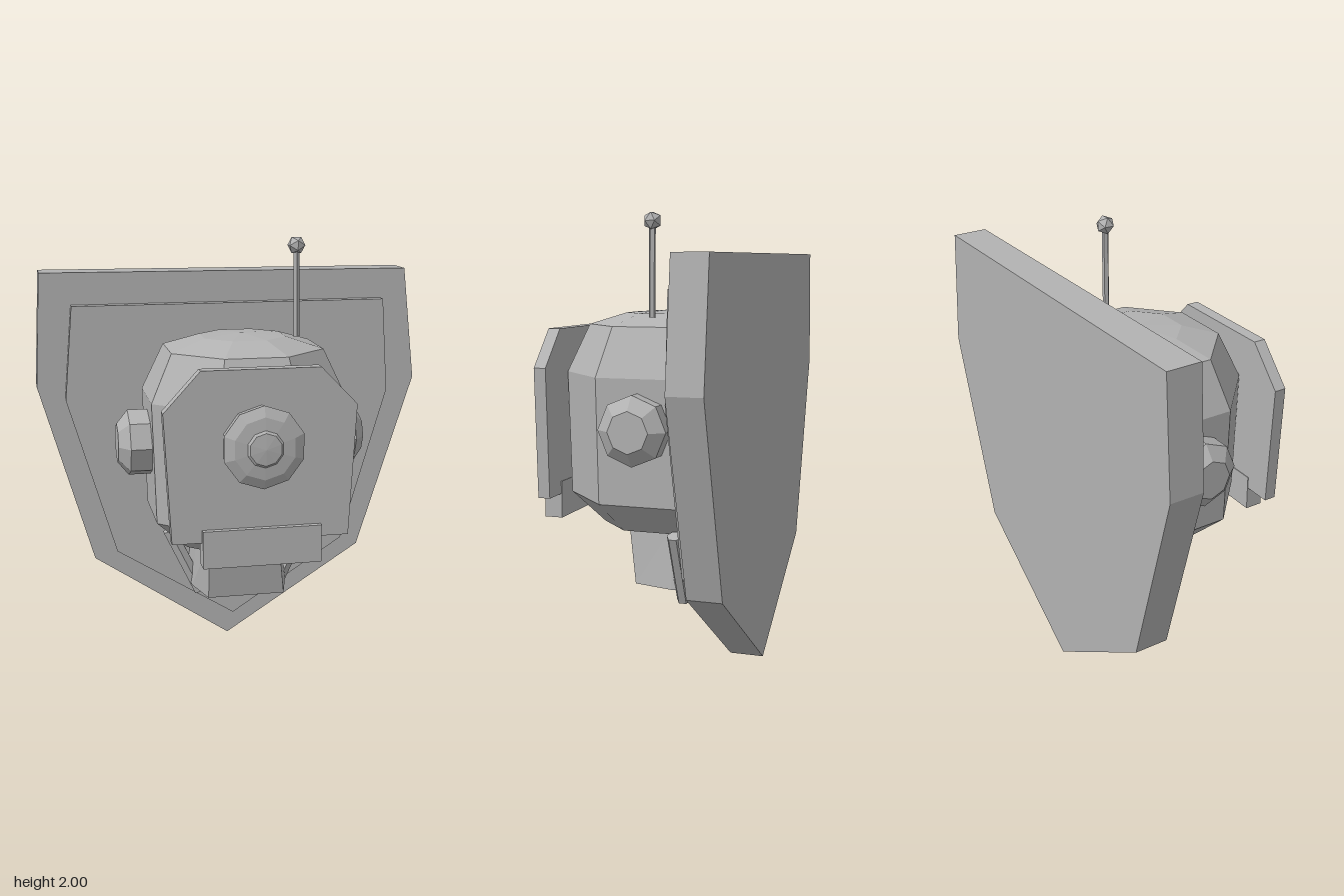
import * as THREE from 'three';

const grey = new THREE.MeshStandardMaterial({ color: 0xb2b2b2, flatShading: true });
grey.name = 'plain grey';

// Flat outline given thickness from z0 to z1
function plate(points, z0, z1) {
  const shape = new THREE.Shape(points.map(([x, y]) => new THREE.Vector2(x, y)));
  const geo = new THREE.ExtrudeGeometry(shape, { depth: z1 - z0, bevelEnabled: false });
  return geo.translate(0, 0, z0);
}

// Faceted skin through horizontal rings of [x, y, z], lowest first, capped at both ends
function loft(rings, apexLift = 0) {
  const pos = [];
  const tri = (...corners) => corners.forEach((c) => pos.push(...c));
  const n = rings[0].length;
  const centre = (ring) => [0, 1, 2].map((k) => ring.reduce((s, p) => s + p[k], 0) / n);
  const top = rings[rings.length - 1];
  const low = centre(rings[0]);
  const high = centre(top);
  high[1] += apexLift;
  for (let i = 0; i < n; i++) {
    const j = (i + 1) % n;
    for (let r = 0; r + 1 < rings.length; r++) {
      const a = rings[r], b = rings[r + 1];
      tri(a[i], a[j], b[j]);
      tri(a[i], b[j], b[i]);
    }
    tri(low, rings[0][j], rings[0][i]);
    tri(high, top[i], top[j]);
  }
  const geo = new THREE.BufferGeometry();
  geo.setAttribute('position', new THREE.Float32BufferAttribute(pos, 3));
  geo.computeVertexNormals();
  return geo;
}

// Turned part from [radius, height] pairs
function turned(profile, sides) {
  return new THREE.LatheGeometry(profile.map(([r, h]) => new THREE.Vector2(r, h)), sides);
}

// Thin rod between two points
function rod(from, to, radius, sides) {
  const a = new THREE.Vector3(...from), b = new THREE.Vector3(...to);
  const dir = b.clone().sub(a);
  const geo = new THREE.CylinderGeometry(radius, radius, dir.length(), sides);
  geo.applyQuaternion(new THREE.Quaternion().setFromUnitVectors(new THREE.Vector3(0, 1, 0), dir.normalize()));
  const mid = a.add(b).multiplyScalar(0.5);
  return geo.translate(mid.x, mid.y, mid.z);
}

export function createModel() {
  const model = new THREE.Group();
  model.name = 'mountedRobotHead';
  const add = (name, geo) => {
    const mesh = new THREE.Mesh(geo, grey);
    mesh.name = name;
    model.add(mesh);
    return mesh;
  };

  // Wall plaque with a raised inner panel
  add('plaque', plate([
    [-0.02, 0], [0.65, 0.43], [0.92, 1.285], [0.86, 1.82], [-0.89, 1.83], [-0.92, 1.3], [-0.675, 0.44],
  ], -0.52, -0.367));
  add('plaquePanel', plate([
    [0, 0.125], [0.55, 0.485], [0.77, 1.235], [0.74, 1.68], [-0.75, 1.68], [-0.79, 1.24], [-0.57, 0.485],
  ], -0.367, -0.316));

  // Eight-sided head with tapered chin and low crown
  const headOutline = [
    [-0.18, 0.425], [0.18, 0.425], [0.44, 0.185], [0.44, -0.185],
    [0.18, -0.425], [-0.18, -0.425], [-0.44, -0.185], [-0.44, 0.185],
  ];
  const headLevels = [[0.61, 0.64], [0.75, 0.965], [1.3, 1], [1.513, 0.78], [1.564, 0.42]];
  add('head', loft(headLevels.map(([y, s]) =>
    headOutline.map(([x, z]) => [x * s, y, z * s - 0.075])), 0.012));

  // Neck running back into the plaque
  const neckRing = (y, w, fl, fr, front) => [
    [fl, y, front], [fr, y, front], [w, y, -0.16], [w, y, -0.35], [-w, y, -0.35], [-w, y, -0.16],
  ];
  add('neck', loft([neckRing(0.345, 0.23, -0.18, 0.18, 0.025), neckRing(0.63, 0.2, -0.18, 0.145, 0.07)]));

  // Slanted neck struts
  add('leftStrut', rod([0.19, 0.295, -0.21], [0.335, 0.615, -0.21], 0.034, 6));
  add('rightStrut', rod([-0.182, 0.3, -0.21], [-0.33, 0.615, -0.21], 0.034, 6));

  // Face plate and jaw
  add('facePlate', plate([
    [-0.4, 0.75], [0.375, 0.75], [0.405, 1.33], [0.245, 1.495], [-0.27, 1.495], [-0.43, 1.32],
  ], 0.358, 0.413));
  add('jaw', plate([[-0.27, 0.64], [0.25, 0.64], [0.25, 0.807], [-0.27, 0.807]], 0.355, 0.438));

  // Single eye
  const eye = turned([[0.17, 0], [0.18, 0.062], [0.135, 0.085], [0.08, 0.09], [0.07, 0.1], [0, 0.106]], 10);
  add('eye', eye.rotateX(Math.PI / 2).translate(-0.013, 1.172, 0.41));

  // Ear caps
  for (const side of [1, -1]) {
    const ear = turned([[0.152, 0], [0.152, 0.1], [0.09, 0.15], [0, 0.15]], 8);
    ear.rotateZ(-side * Math.PI / 2).translate(side * 0.418 - 0.011, 1.087, -0.078);
    add(side > 0 ? 'leftEar' : 'rightEar', ear);
  }

  // Antenna with a faceted tip
  add('antenna', rod([0.255, 1.55, -0.08], [0.25, 1.94, -0.08], 0.015, 5));
  add('antennaTip', new THREE.IcosahedronGeometry(0.042, 0).translate(0.25, 1.961, -0.08));

  return model;
}
